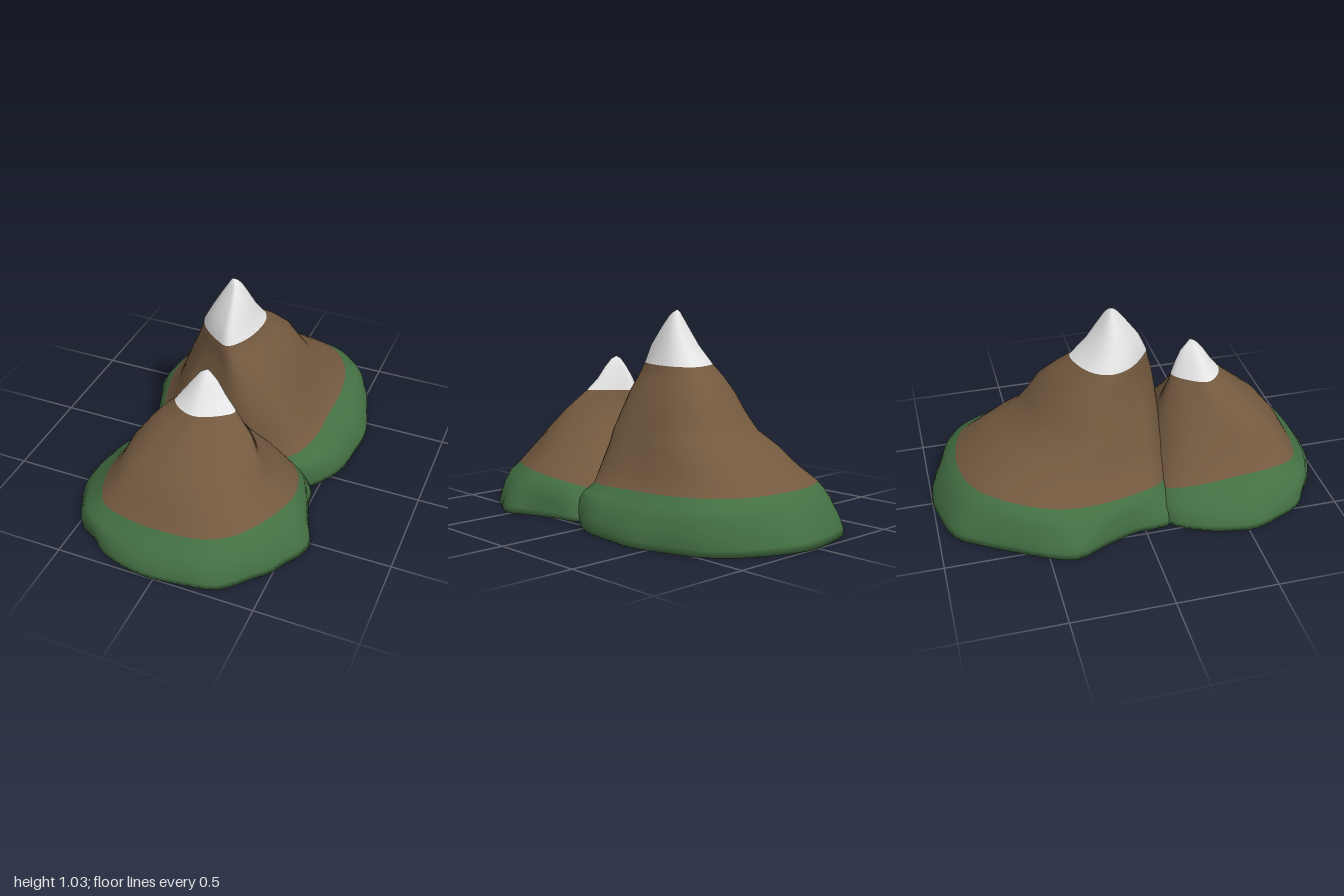
import * as THREE from 'three';

const SIDES = 72;
const smooth = (t) => { t = Math.min(1, Math.max(0, t)); return t * t * (3 - 2 * t); };

// Outline points -> radius at each side's angle, scaled to a -1..1 box
function unitOutline(points) {
  const curve = new THREE.CatmullRomCurve3(points.map(([x, z]) => new THREE.Vector3(x, 0, z)), true, 'centripetal');
  const dense = curve.getPoints(1500);
  const box = new THREE.Box3().setFromPoints(dense);
  const mid = box.getCenter(new THREE.Vector3());
  const half = box.getSize(new THREE.Vector3()).multiplyScalar(0.5);
  const polar = dense.map((p) => {
    const x = (p.x - mid.x) / half.x, z = (p.z - mid.z) / half.z;
    return [Math.atan2(z, x), Math.hypot(x, z)];
  });
  return Array.from({ length: SIDES }, (_, i) => {
    const a = (i / SIDES) * Math.PI * 2;
    let best = 9, radius = 1;
    for (const [b, r] of polar) {
      const gap = 1 - Math.cos(a - b);
      if (gap < best) { best = gap; radius = r; }
    }
    return radius;
  });
}

// rings: [y, xMin, xMax, zMin, zMax]; the shape blends from base to grass line to snow line
function mountain(name, { base, grass, snow, rings, apex, grassRing, snowRing, tilt }, materials) {
  const low = unitOutline(base), middle = unitOutline(grass), high = unitOutline(snow);
  const snowY = rings[snowRing][0], grassY = rings[grassRing][0];
  const pos = [], index = [];
  for (const [y, x0, x1, z0, z1] of rings) {
    const s = smooth(y / grassY), t = smooth((y - grassY) / (snowY - grassY));
    const wave = Math.max(0, 1 - Math.abs(y - grassY) / grassY); // strongest at the grass line
    for (let i = 0; i < SIDES; i++) {
      const a = (i / SIDES) * Math.PI * 2;
      const r = THREE.MathUtils.lerp(THREE.MathUtils.lerp(low[i], middle[i], s), high[i], t);
      const x = (x0 + x1) / 2 + Math.cos(a) * r * (x1 - x0) / 2;
      const z = (z0 + z1) / 2 + Math.sin(a) * r * (z1 - z0) / 2;
      pos.push(x, y + wave * tilt(z), z);
    }
  }
  const top = pos.length / 3;
  pos.push(...apex);
  pos.push(0, 0, (rings[0][3] + rings[0][4]) / 2);

  const geo = new THREE.BufferGeometry();
  let start = 0;
  const closeGroup = (m) => { geo.addGroup(start, index.length - start, m); start = index.length; };

  // Underside
  for (let i = 0; i < SIDES; i++) index.push(top + 1, i, (i + 1) % SIDES);
  closeGroup(0);

  // Grass, rock and snow bands
  for (let k = 0; k < rings.length - 1; k++) {
    if (k === grassRing) closeGroup(1);
    if (k === snowRing) closeGroup(2);
    for (let i = 0; i < SIDES; i++) {
      const j = (i + 1) % SIDES, a = k * SIDES, b = a + SIDES;
      index.push(a + i, b + i, a + j, a + j, b + i, b + j);
    }
  }
  const last = (rings.length - 1) * SIDES;
  for (let i = 0; i < SIDES; i++) index.push(last + i, top, last + (i + 1) % SIDES);
  closeGroup(3);

  geo.setAttribute('position', new THREE.Float32BufferAttribute(pos, 3));
  geo.setIndex(index);
  geo.computeVertexNormals();
  const mesh = new THREE.Mesh(geo, materials);
  mesh.name = name;
  return mesh;
}

const tall = {
  base: [[0.08, -1], [0.29, -0.92], [0.4, -0.85], [0.48, -0.76], [0.56, -0.56], [0.6, -0.4], [0.59, -0.25],
    [0.57, -0.08], [0.52, 0.03], [0.46, 0.11], [0.25, 0.22], [0, 0.25], [-0.25, 0.22], [-0.46, 0.13], [-0.48, -0.05],
    [-0.54, -0.22], [-0.6, -0.37], [-0.57, -0.48], [-0.5, -0.61], [-0.39, -0.8], [-0.3, -0.92], [-0.13, -0.98]],
  grass: [[0.415, -0.05], [0.42, -0.25], [0.42, -0.45], [0.38, -0.65], [0.27, -0.8], [0.1, -0.86], [-0.1, -0.86],
    [-0.26, -0.79], [-0.4, -0.61], [-0.47, -0.42], [-0.47, -0.25], [-0.42, -0.04], [-0.36, 0.1], [-0.2, 0.19],
    [0, 0.22], [0.23, 0.19], [0.37, 0.1]],
  snow: [[0.08, -0.2], [0.09, -0.1], [0.06, 0.03], [0, 0.11], [-0.07, 0.08], [-0.18, -0.02], [-0.21, -0.11],
    [-0.18, -0.18], [-0.09, -0.24], [0.03, -0.26]],
  rings: [
    [0, -0.6, 0.6, -1, 0.25], [0.03, -0.595, 0.6, -0.993, 0.25], [0.07, -0.585, 0.59, -0.975, 0.25],
    [0.14, -0.545, 0.55, -0.935, 0.24], [0.18, -0.515, 0.505, -0.9, 0.23], [0.215, -0.48, 0.435, -0.86, 0.22],
    [0.29, -0.41, 0.385, -0.775, 0.21], [0.38, -0.37, 0.335, -0.66, 0.2], [0.44, -0.34, 0.305, -0.545, 0.2],
    [0.53, -0.3, 0.26, -0.475, 0.185], [0.62, -0.26, 0.21, -0.42, 0.165], [0.7, -0.225, 0.145, -0.34, 0.14],
    [0.76, -0.2, 0.1, -0.26, 0.125], [0.85, -0.15, 0.07, -0.18, 0.085], [0.94, -0.097, 0.035, -0.125, 0.02],
    [1, -0.06, 0.005, -0.09, -0.025], [1.02, -0.048, -0.015, -0.075, -0.045],
  ],
  apex: [-0.035, 1.03, -0.06], grassRing: 5, snowRing: 12,
  tilt: (z) => -0.05 * (z + 0.35) - 0.2 * Math.max(0, z - 0.08),
};

const small = {
  base: [[0.46, 0.12], [0.49, 0.24], [0.54, 0.38], [0.59, 0.51], [0.57, 0.59], [0.52, 0.67], [0.48, 0.75], [0.42, 0.81],
    [0.36, 0.88], [0.29, 0.94], [0.12, 0.975], [-0.05, 0.99], [-0.2, 0.965], [-0.31, 0.92], [-0.38, 0.86],
    [-0.48, 0.8], [-0.55, 0.67], [-0.6, 0.53], [-0.59, 0.42], [-0.56, 0.3], [-0.46, 0.13], [-0.25, 0.04], [0, 0], [0.25, 0.04]],
  grass: [[0.35, 0.11], [0.44, 0.24], [0.48, 0.42], [0.43, 0.61], [0.32, 0.77], [0.19, 0.84], [0, 0.86], [-0.18, 0.85],
    [-0.34, 0.8], [-0.41, 0.66], [-0.43, 0.45], [-0.42, 0.29], [-0.36, 0.13], [-0.2, 0.06], [0, 0.05], [0.2, 0.06]],
  snow: [[-0.02, 0.24], [0.06, 0.29], [0.17, 0.39], [0.13, 0.44], [0, 0.5], [-0.1, 0.46], [-0.14, 0.4], [-0.1, 0.31]],
  rings: [
    [0, -0.6, 0.6, 0, 1], [0.03, -0.598, 0.593, 0.005, 0.997], [0.06, -0.58, 0.58, 0.01, 0.99],
    [0.1, -0.55, 0.56, 0.02, 0.975], [0.15, -0.5, 0.53, 0.04, 0.94], [0.2, -0.43, 0.48, 0.06, 0.875],
    [0.3, -0.365, 0.385, 0.11, 0.815], [0.4, -0.32, 0.335, 0.17, 0.735], [0.5, -0.245, 0.27, 0.21, 0.62],
    [0.56, -0.19, 0.21, 0.235, 0.55], [0.602, -0.14, 0.165, 0.25, 0.505], [0.66, -0.1, 0.11, 0.27, 0.46],
    [0.72, -0.055, 0.07, 0.3, 0.42], [0.76, -0.025, 0.035, 0.335, 0.385],
  ],
  apex: [0.005, 0.775, 0.36], grassRing: 5, snowRing: 10,
  tilt: (z) => 0.015 - 0.3 * (z - 0.6) ** 2,
};

export function createModel() {
  const material = (name, color) => {
    const m = new THREE.MeshStandardMaterial({ color });
    m.name = name;
    return m;
  };
  const materials = [
    material('underside black', 0x0a0a0a),
    material('grass green', 0x447043),
    material('rock brown', 0x73593f),
    material('snow white', 0xe4e4e4),
  ];
  const group = new THREE.Group();
  group.name = 'mountains';
  group.add(mountain('tallMountain', tall, materials), mountain('smallMountain', small, materials));
  return group;
}
